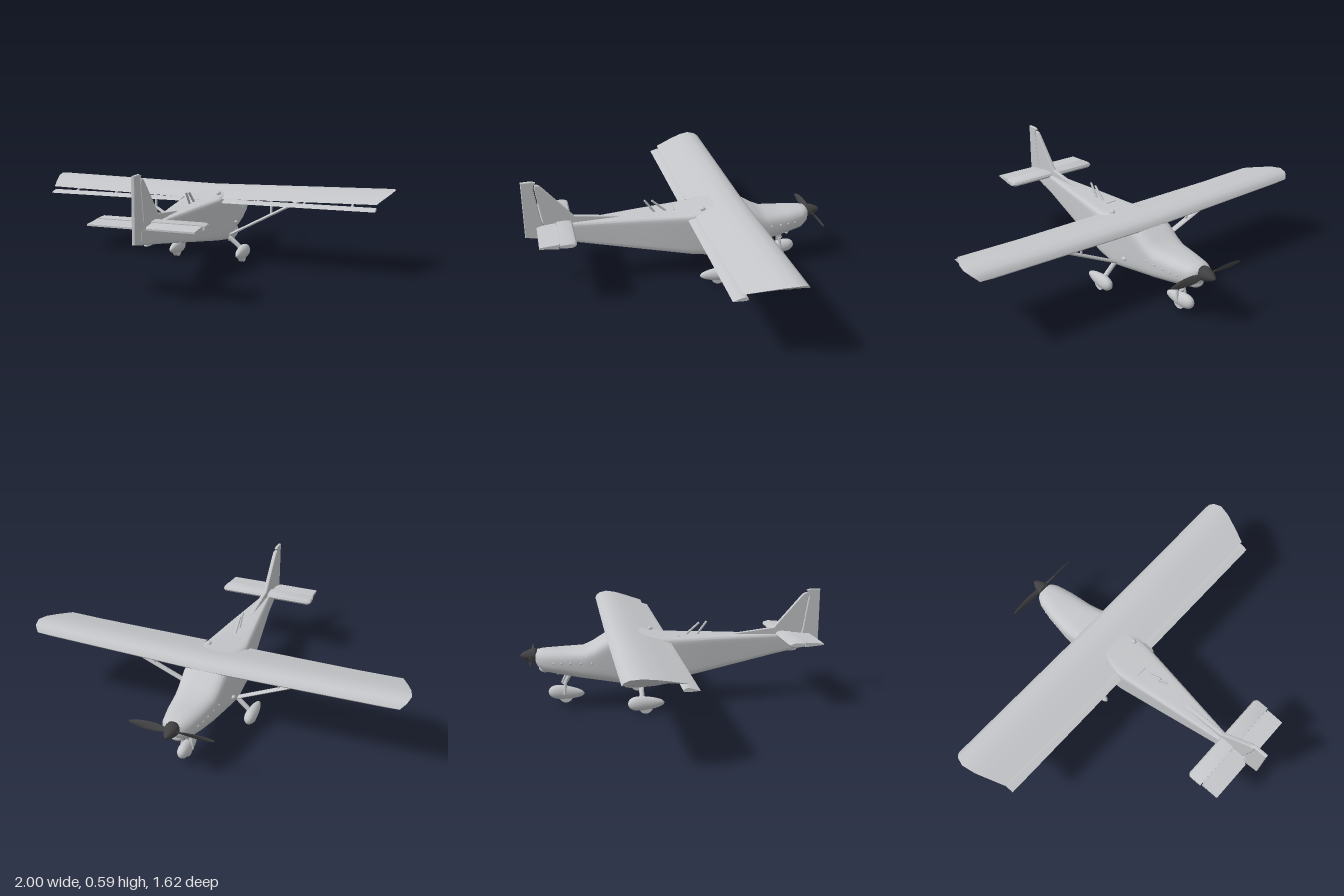
import * as THREE from 'three';
import { toCreasedNormals } from 'three/addons/utils/BufferGeometryUtils.js';

const V = (x, y, z) => new THREE.Vector3(x, y, z);

// Skin a list of closed rings, cap both ends, and make the faces point outward.
function loft(rings, crease = 0.6) {
  const n = rings[0].length, pts = rings.flat(), idx = [];
  for (let r = 0; r < rings.length - 1; r++) {
    for (let i = 0; i < n; i++) {
      const a = r * n + i, b = r * n + (i + 1) % n;
      idx.push(a, b, a + n, b, b + n, a + n);
    }
  }
  [0, rings.length - 1].forEach((r, end) => {
    const c = pts.length;
    pts.push(rings[r].reduce((s, p) => s.add(p), V(0, 0, 0)).divideScalar(n));
    for (let i = 0; i < n; i++) {
      const a = r * n + i, b = r * n + (i + 1) % n;
      if (end) idx.push(a, b, c); else idx.push(b, a, c);
    }
  });
  let volume = 0;
  for (let i = 0; i < idx.length; i += 3) {
    volume += pts[idx[i]].dot(V(0, 0, 0).crossVectors(pts[idx[i + 1]], pts[idx[i + 2]]));
  }
  if (volume < 0) idx.reverse();
  const g = new THREE.BufferGeometry().setFromPoints(pts);
  g.setIndex(idx);
  return toCreasedNormals(g, crease);
}

// Airfoil outline as [chord fraction, height] with heights in units of thickness.
const upper = [[0, 0], [0.03, 0.32], [0.1, 0.62], [0.25, 0.8], [0.45, 0.72], [0.7, 0.42], [1, 0]];
const lower = [[0.8, -0.12], [0.5, -0.24], [0.25, -0.3], [0.08, -0.26], [0.02, -0.14]];
const foil = [...upper, ...lower];

// Plain panel with an airfoil section between two x positions.
const panel = (x0, x1, zFront, zBack, y, thick, drop = 0) => loft([x0, x1].map((x) =>
  foil.map(([u, h]) => V(x, y + h * thick - drop * u, zFront + u * (zBack - zFront)))));

export function createModel() {
  const plane = new THREE.Group();
  plane.name = 'airplane';
  const paint = new THREE.MeshStandardMaterial({ color: 0xc4c6c9 });
  paint.name = 'light grey paint';
  const dark = new THREE.MeshStandardMaterial({ color: 0x414143 });
  dark.name = 'dark grey';

  const add = (name, geometry, material = paint) => {
    const m = new THREE.Mesh(geometry, material);
    m.name = name;
    plane.add(m);
    return m;
  };
  // Rod between two points; flat is its cross width relative to its depth.
  const rod = (name, a, b, r, flat = 1) => {
    const m = add(name, new THREE.CylinderGeometry(r, r, a.distanceTo(b), 14));
    m.position.copy(a).lerp(b, 0.5);
    m.quaternion.setFromUnitVectors(V(0, 1, 0), b.clone().sub(a).normalize());
    m.scale.x = flat;
    return m;
  };
  const blob = (name, x, y, z, sx, sy, sz, material = paint) => {
    const m = add(name, new THREE.SphereGeometry(1, 16, 12), material);
    m.position.set(x, y, z);
    m.scale.set(sx, sy, sz);
    return m;
  };

  // Fuselage stations: z, half width, bottom, top, squareness
  const stations = [
    [-0.732, 0.038, 0.245, 0.304, 2.2], [-0.722, 0.056, 0.225, 0.312, 2.3], [-0.69, 0.075, 0.198, 0.316, 2.5],
    [-0.6, 0.095, 0.18, 0.317, 2.8], [-0.48, 0.11, 0.16, 0.317, 3.5], [-0.43, 0.114, 0.153, 0.337, 4],
    [-0.36, 0.118, 0.142, 0.378, 5], [-0.3, 0.12, 0.133, 0.4, 6], [-0.185, 0.12, 0.113, 0.395, 8],
    [-0.05, 0.115, 0.136, 0.368, 10], [0.2, 0.079, 0.18, 0.362, 10], [0.56, 0.027, 0.243, 0.35, 8],
    [0.74, 0.01, 0.273, 0.34, 6],
  ];
  add('fuselage', loft(stations.map(([z, w, y0, y1, n]) => Array.from({ length: 48 }, (_, i) => {
    const t = (i + 0.5) / 48 * Math.PI * 2, c = Math.cos(t), s = Math.sin(t);
    return V(w * Math.sign(c) * Math.abs(c) ** (2 / n),
      (y0 + y1) / 2 + (y1 - y0) / 2 * Math.sign(s) * Math.abs(s) ** (2 / n), z);
  })), 0.7));

  // Wing with slight dihedral and raked, upswept tips
  const tipCurve = [[0, 0.962], [0.06, 0.985], [0.25, 1], [0.5, 0.985], [1, 0.928]];
  const tipX = (u) => {
    const k = Math.max(1, tipCurve.findIndex((p) => p[0] >= u));
    const [a, b] = [tipCurve[k - 1], tipCurve[k]];
    return THREE.MathUtils.mapLinear(u, a[0], b[0], a[1], b[1]);
  };
  const wingY = (u, h, x) => 0.376 - 0.015 * u + h * 0.052 + 0.02 * x;
  const wingZ = (u) => -0.365 + 0.29 * u;
  const topH = (u) => {
    const k = Math.max(1, upper.findIndex((p) => p[0] >= u));
    const [a, b] = [upper[k - 1], upper[k]];
    return THREE.MathUtils.mapLinear(u, a[0], b[0], a[1], b[1]);
  };
  const innerRing = (side) => foil.map(([u, h], i) => {
    const x = tipX(u) - (i < upper.length ? 0.02 : 0.075);
    return V(side * x, wingY(u, h, x), wingZ(u));
  });
  const tipRing = (side) => foil.map(([u, h]) => {
    const x = tipX(u);
    return V(side * x, wingY(u, topH(u) * 0.9 + h * 0.05, x), wingZ(u));
  });
  const midRing = foil.map(([u, h]) => V(0, wingY(u, h, 0), wingZ(u)));
  add('wing', loft([tipRing(-1), innerRing(-1), midRing, innerRing(1), tipRing(1)]));

  // Teardrop wheel fairing, blunt end toward the nose
  const tear = new THREE.LatheGeometry(new THREE.SplineCurve([
    [0, -0.1], [0.016, -0.085], [0.03, -0.04], [0.038, 0.02], [0.034, 0.062], [0.019, 0.085], [0, 0.092],
  ].map(([r, y]) => new THREE.Vector2(Math.max(r, 0), y))).getPoints(24), 24);
  tear.rotateX(-Math.PI / 2);
  const wheel = (name, x, y, z, tilt) => {
    const f = add(name + 'Fairing', tear);
    f.position.set(x, y, z);
    f.scale.x = 0.8;
    f.rotation.x = tilt;
    const w = add(name, new THREE.CylinderGeometry(0.037, 0.037, 0.026, 24).rotateZ(Math.PI / 2));
    w.position.set(x, y - 0.016, z);
  };

  for (const s of [-1, 1]) {
    const side = s > 0 ? 'left' : 'right';
    add(side + 'Flaperon', panel(s * 0.12, s * 0.925, -0.105, -0.032, 0.35, 0.016, 0.002));
    for (const x of [0.3, 0.55, 0.8]) {
      rod(side + 'FlaperonHinge', V(s * x, 0.366, -0.14), V(s * x, 0.343, -0.085), 0.006);
    }
    // Bracing
    const low = V(s * 0.11, 0.14, -0.195), high = V(s * 0.53, 0.366, -0.25);
    add(side + 'WingStrut', loft([low, high].map((p) => Array.from({ length: 12 }, (_, i) => {
      const t = i / 12 * Math.PI * 2;
      return V(p.x, p.y + 0.009 * Math.sin(t), p.z + 0.017 * Math.cos(t));
    })), 1));
    rod(side + 'JuryStrut', V(s * 0.345, 0.262, -0.226), V(s * 0.345, 0.37, -0.226), 0.007);
    // Main gear
    rod(side + 'GearLeg', V(s * 0.1, 0.145, -0.19), V(s * 0.19, 0.065, -0.195), 0.013);
    wheel(side + 'Wheel', s * 0.195, 0.053, -0.178, 0);
    // Tailplane and elevator
    add(side + 'Stabilizer', loft([[0, 0], [0.255, 0], [0.27, 0.01]].map(([x, inset]) => [
      [0.56 + inset, 0], [0.567 + inset, 0.011], [0.59, 0.017], [0.643, 0.013],
      [0.643, -0.013], [0.59, -0.017], [0.567 + inset, -0.011],
    ].map(([z, y]) => V(s * x, 0.35 + y * (inset ? 0.6 : 1), z)))));
    add(side + 'Elevator', loft([[0.018, 0.715], [0.035, 0.745], [0.262, 0.745]].map(([x, back]) => [
      [0.648, 0.012], [back, 0.004], [back, -0.004], [0.648, -0.012],
    ].map(([z, y]) => V(s * x, 0.348 + y, z)))));
    rod(side + 'ElevatorHinge', V(s * 0.03, 0.35, 0.645), V(s * 0.25, 0.35, 0.645), 0.008);
    // Cowl fasteners and side vents
    [[-0.445, 0.112], [-0.5, 0.106], [-0.555, 0.1], [-0.6, 0.093], [-0.64, 0.085]].forEach(([z, x]) =>
      blob(side + 'CowlFastener', s * x, 0.255, z, 0.006, 0.006, 0.006));
    blob(side + 'SideVent', s * 0.12, 0.2, -0.283, 0.015, 0.009, 0.015);
    // Propeller blade, twisted and leaf shaped
    add(side + 'PropellerBlade', loft([
      [0.01, 0.012, 0.9], [0.04, 0.013, 0.8], [0.08, 0.019, 0.55], [0.13, 0.02, 0.4], [0.18, 0.015, 0.3], [0.215, 0.004, 0.25],
    ].map(([x, c, twist]) => Array.from({ length: 12 }, (_, i) => {
      const t = i / 12 * Math.PI * 2, y = c * Math.cos(t), z = 0.004 * Math.sin(t);
      return V(s * x, 0.283 + y * Math.cos(twist) - z * Math.sin(twist),
        -0.752 + s * (y * Math.sin(twist) + z * Math.cos(twist)));
    })), 1), dark);
  }

  // Nose gear with twin fork
  wheel('noseWheel', 0, 0.07, -0.582, 0.1);
  rod('noseLeg', V(0, 0.2, -0.54), V(0, 0.115, -0.59), 0.011);
  for (const s of [-1, 1]) rod('noseFork', V(s * 0.022, 0.135, -0.58), V(s * 0.03, 0.065, -0.59), 0.007);
  rod('noseDragLink', V(0, 0.19, -0.57), V(0, 0.125, -0.6), 0.007);

  // Spinner and chin intake
  const spinner = add('spinner', new THREE.LatheGeometry([
    [0, 0], [0.034, 0], [0.036, 0.015], [0.031, 0.04], [0.02, 0.066], [0.009, 0.082], [0, 0.088],
  ].map(([r, y]) => new THREE.Vector2(r, y)), 28).rotateX(-Math.PI / 2), dark);
  spinner.position.set(0, 0.283, -0.724);
  blob('chinIntake', 0, 0.212, -0.685, 0.04, 0.024, 0.034);
  rod('exhaust', V(0.03, 0.2, -0.63), V(0.03, 0.165, -0.615), 0.009);

  // Fin and rudder: side outlines given as [z, y]
  const plate = (name, outline, thick) => {
    const shape = new THREE.Shape(outline.map(([z, y]) => new THREE.Vector2(z, y)));
    const g = new THREE.ExtrudeGeometry(shape, {
      depth: thick * 0.4, bevelThickness: thick * 0.3, bevelSize: 0.004, bevelOffset: -0.004, bevelSegments: 2,
    });
    g.translate(0, 0, -thick * 0.2).rotateY(-Math.PI / 2);
    add(name, g);
  };
  plate('fin', [[0.24, 0.35], [0.7, 0.33], [0.712, 0.37], [0.74, 0.553], [0.735, 0.575], [0.715, 0.57],
    [0.695, 0.55], [0.55, 0.387]], 0.022);
  plate('rudder', [[0.68, 0.262], [0.806, 0.286], [0.806, 0.592], [0.75, 0.594], [0.73, 0.587], [0.737, 0.577],
    [0.744, 0.553], [0.716, 0.37], [0.7, 0.33]], 0.018);
  blob('tailSkid', 0, 0.258, 0.645, 0.014, 0.008, 0.042);

  // Roof aerials and dome
  rod('rearAerial', V(0, 0.355, 0.12), V(0, 0.432, 0.178), 0.006);
  rod('frontAerial', V(0, 0.355, 0.055), V(0, 0.427, 0.138), 0.006);
  rod('roofRib', V(-0.05, 0.367, 0.02), V(0.01, 0.367, 0.02), 0.004);
  blob('roofDome', 0.075, 0.386, -0.12, 0.012, 0.012, 0.015);

  return plane;
}
